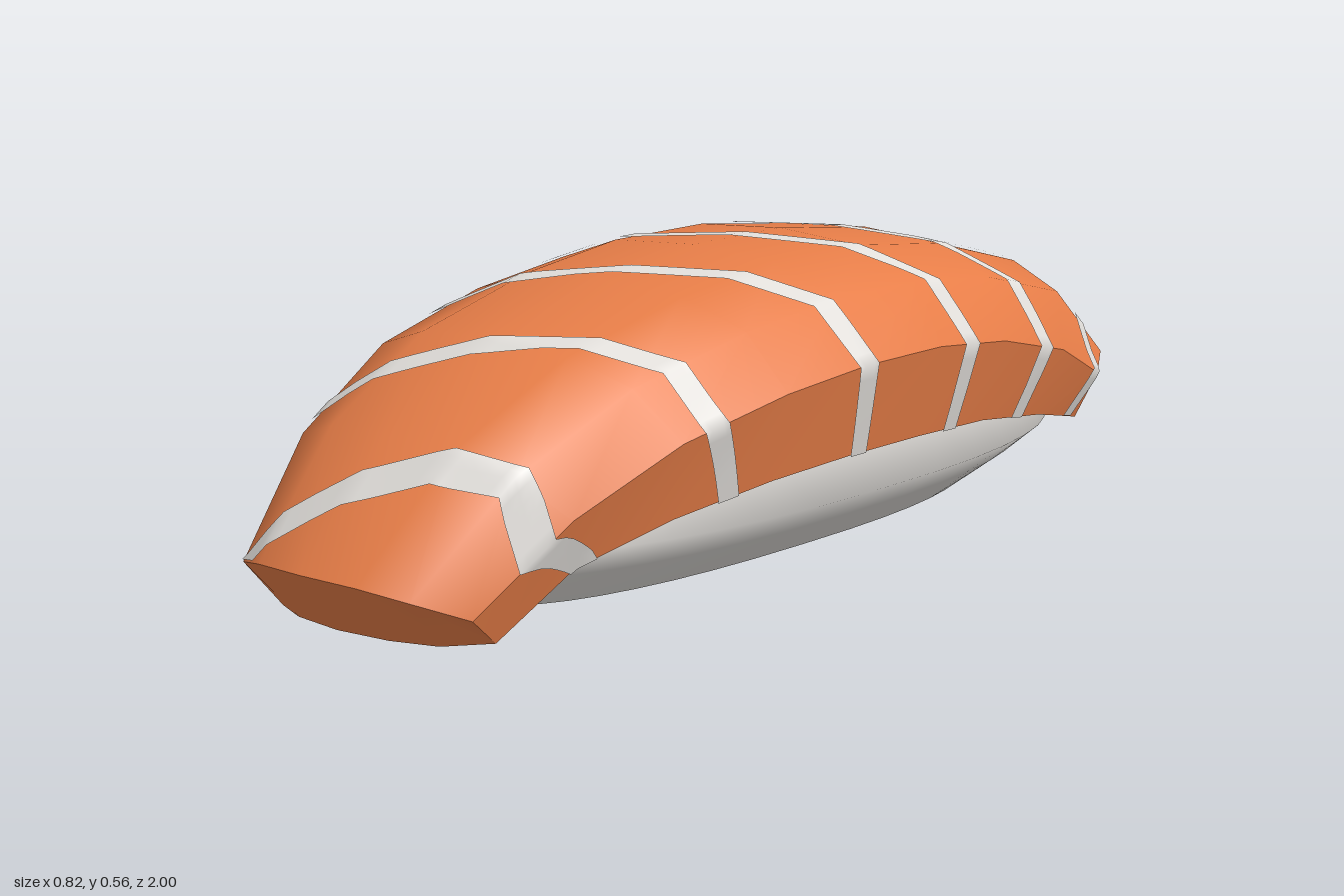
import * as THREE from 'three';

const flesh = new THREE.MeshStandardMaterial({ color: 0xe87e48 });
flesh.name = 'salmonOrange';
const pale = new THREE.MeshStandardMaterial({ color: 0xe2dfdb });
pale.name = 'riceWhite';

// Skin a grid of points: rows run front to back, columns from right to left side (+x)
function grid(name, rows, material, flip = false) {
  const n = rows[0].length, index = [];
  for (let i = 0; i < rows.length - 1; i++) {
    for (let j = 0; j < n - 1; j++) {
      const a = i * n + j, b = a + 1, c = a + n, d = c + 1;
      index.push(...(flip ? [a, c, b, b, c, d] : [a, b, c, b, d, c]));
    }
  }
  const g = new THREE.BufferGeometry().setFromPoints(rows.flat());
  g.setIndex(index);
  g.computeVertexNormals();
  const mesh = new THREE.Mesh(g, material);
  mesh.name = name;
  return mesh;
}

// Fish slice stations: z, top centre y, crease half width, crease y,
// lower z scale, lower centre y, lower half width, lower edge y
const STATIONS = [
  [1.00, 0.13, 0.245, 0.065, 0.92, 0.02, 0.23, 0.01],
  [0.80, 0.33, 0.31, 0.21, 0.94, 0.20, 0.275, 0.115],
  [0.55, 0.455, 0.365, 0.31, 0.96, 0.31, 0.325, 0.17],
  [0.27, 0.52, 0.395, 0.36, 0.97, 0.36, 0.355, 0.20],
  [0.02, 0.55, 0.406, 0.38, 1.00, 0.38, 0.365, 0.21],
  [-0.23, 0.55, 0.406, 0.38, 0.98, 0.38, 0.365, 0.21],
  [-0.49, 0.52, 0.39, 0.355, 0.97, 0.36, 0.35, 0.20],
  [-0.76, 0.45, 0.365, 0.30, 0.97, 0.30, 0.325, 0.17],
  [-1.00, 0.25, 0.31, 0.215, 0.97, 0.15, 0.275, 0.125],
];
const ACROSS = [-3, -2, -1, 0, 1, 2, 3];
const XF = [0, 0.47, 0.815, 1], YF = [0, 0.07, 0.36, 1], ZF = [1, 0.985, 0.945, 0.85];

const arc = (z, yMid, w, yEdge) => ACROSS.map(k => {
  const m = Math.abs(k);
  return new THREE.Vector3(Math.sign(k) * XF[m] * w, yMid + (yEdge - yMid) * YF[m], z * ZF[m]);
});

// Point on the skin, matching the triangles of the grid
function onSkin(rows, i, g, j, f) {
  const a = rows[i][j], b = rows[i][j + 1], c = rows[i + 1][j], d = rows[i + 1][j + 1];
  const [o, p, q, u, v] = f + g < 1 ? [a, b, c, f, g] : [d, c, b, 1 - f, 1 - g];
  return o.clone().addScaledVector(p, u).addScaledVector(o, -u)
    .addScaledVector(q, v).addScaledVector(o, -v);
}

// Fat line: a thin band where the slanted level of the skin is near z0
function stripe(rows, z0) {
  const SUB = 6, CUTS = 4, HALF = 0.025, cols = rows[0].length - 1;
  const out = Array.from({ length: CUTS + 1 }, () => []);
  for (let j = 0; j < cols; j++) {
    for (let s = j ? 1 : 0; s <= SUB; s++) {
      const f = s / SUB, line = [];
      const side = j === 0 ? -(1 - f) : j === cols - 1 ? f : 0;
      for (let i = 0; i < rows.length - 1; i++) {
        for (let k = i ? 1 : 0; k <= SUB; k++) {
          const p = onSkin(rows, i, k / SUB, j, f);
          const level = p.z + 0.48 * p.x + 0.04 * side + 0.13 * Math.abs(side) * p.z;
          // lift just above the skin
          const midY = rows[i][4].y + (rows[i + 1][4].y - rows[i][4].y) * k / SUB;
          const lift = new THREE.Vector3(p.x, p.y - midY + 0.25, 0).setLength(0.005);
          line.push({ level, p: p.add(lift) });
        }
      }
      for (let c = 0; c <= CUTS; c++) {
        const want = z0 + HALF - 2 * HALF * c / CUTS;
        let m = 0;
        while (m < line.length - 2 && line[m + 1].level > want) m++;
        const t = (line[m].level - want) / (line[m].level - line[m + 1].level);
        out[c].push(line[m].p.clone().lerp(line[m + 1].p, THREE.MathUtils.clamp(t, 0, 1)));
      }
    }
  }
  return grid('fatStripe', out, pale);
}

function fishSlice() {
  const group = new THREE.Group();
  group.name = 'fishSlice';
  const top = STATIONS.map(s => arc(s[0], s[1], s[2], s[3]));
  const low = STATIONS.map(s => arc(s[0] * s[4], s[5], s[6], s[7]));
  const last = STATIONS.length - 1;
  group.add(
    grid('sliceTop', top, flesh),
    grid('sliceUnderside', low, flesh, true),
    grid('sliceRightEdge', top.map((r, i) => [low[i][0], r[0]]), flesh),
    grid('sliceLeftEdge', top.map((r, i) => [r[6], low[i][6]]), flesh),
    grid('sliceFrontEnd', [low[0], top[0]], flesh),
    grid('sliceBackEnd', [top[last], low[last]], flesh),
  );
  // Stripes run over the top and down both edges
  const skin = top.map((r, i) => [low[i][0], ...r, low[i][6]]);
  for (const z0 of [-0.93, -0.69, -0.395, -0.105, 0.215, 0.575, 0.88]) group.add(stripe(skin, z0));
  return group;
}

// Rounded rice block: layers of y, half width, front z, back z
function riceBlock() {
  const SEG = 40, POWER = 2 / 2.4;
  const bend = v => Math.sign(v) * Math.abs(v) ** POWER;
  const layers = [
    [0, 0.001, -0.069, -0.071], [0, 0.19, 0.6, -0.74], [0.07, 0.28, 0.69, -0.87],
    [0.12, 0.335, 0.71, -0.94], [0.2, 0.335, 0.62, -0.87], [0.22, 0.28, 0.55, -0.78],
    [0.22, 0.001, -0.069, -0.071],
  ];
  const rows = layers.map(([y, w, front, back]) => Array.from({ length: SEG + 1 }, (_, k) => {
    const a = (k % SEG) / SEG * Math.PI * 2;
    return new THREE.Vector3(w * bend(Math.sin(a)), y,
      (front + back) / 2 + (front - back) / 2 * bend(Math.cos(a)));
  }));
  const group = new THREE.Group();
  group.name = 'riceBlock';
  group.add(
    grid('riceBase', rows.slice(0, 2), pale, true),
    grid('riceSides', rows.slice(1, 5), pale, true),
    grid('riceTop', rows.slice(4), pale, true),
  );
  // outward winding for rings that climb in y
  group.children.forEach(mesh => {
    const idx = mesh.geometry.index.array;
    for (let i = 0; i < idx.length; i += 3) [idx[i], idx[i + 1]] = [idx[i + 1], idx[i]];
    mesh.geometry.computeVertexNormals();
  });
  return group;
}

export function createModel() {
  const model = new THREE.Group();
  model.name = 'salmonNigiri';
  model.add(riceBlock(), fishSlice());
  return model;
}
